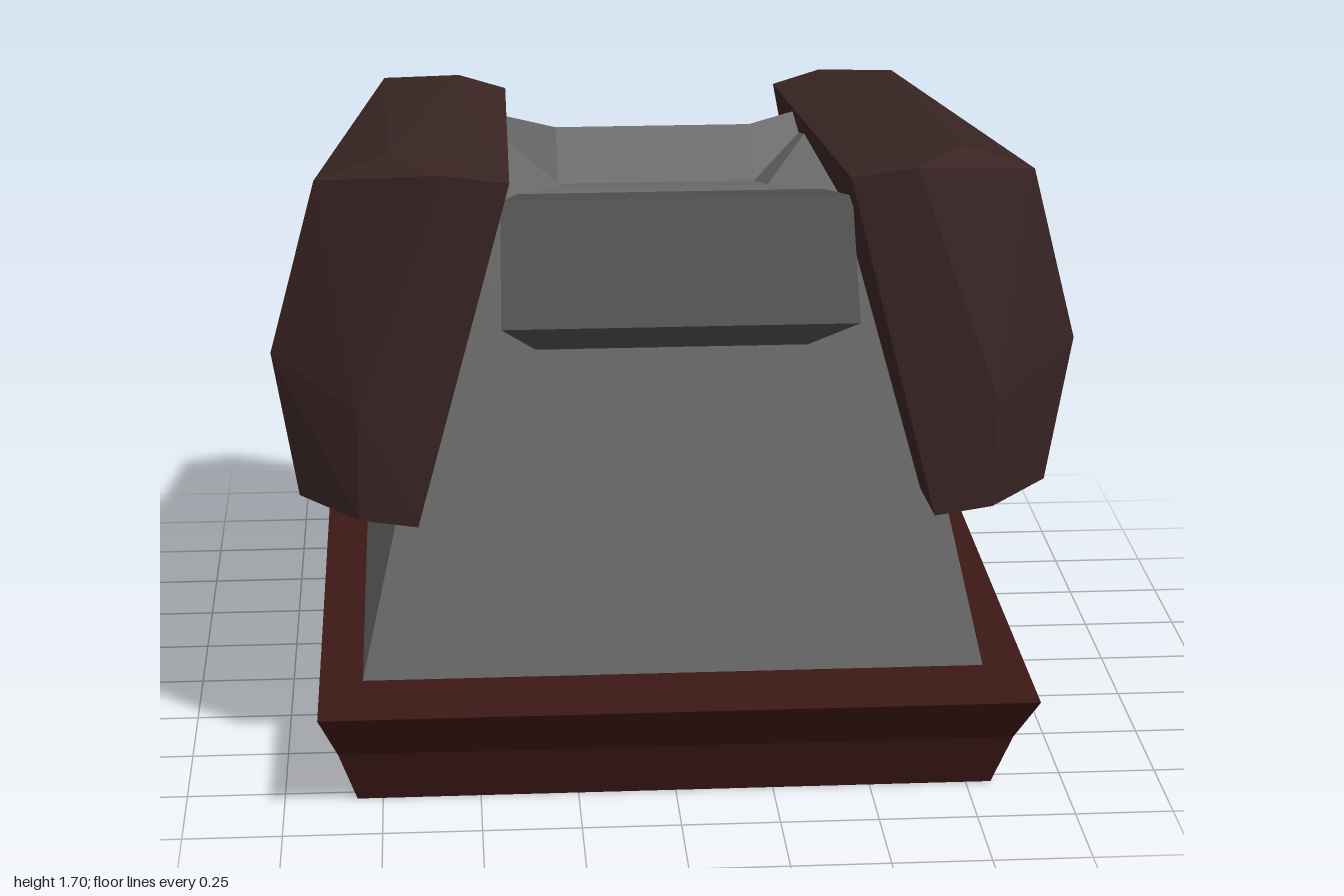
import * as THREE from 'three';
import { ConvexGeometry } from 'three/addons/geometries/ConvexGeometry.js';

const material = (color) => new THREE.MeshStandardMaterial({ color, flatShading: true });
const V = (x, y, z) => new THREE.Vector3(x, y, z);

// Flat-faced geometry from convex polygons, corners counter-clockwise from outside
function fromPolygons(polygons) {
  const points = [];
  for (const p of polygons)
    for (let i = 1; i < p.length - 1; i++) points.push(p[0], p[i], p[i + 1]);
  const geometry = new THREE.BufferGeometry().setFromPoints(points);
  geometry.computeVertexNormals();
  return geometry;
}

// Side walls joining a stack of rings
function walls(rings) {
  const out = [];
  for (let i = 0; i < rings.length - 1; i++) {
    const lo = rings[i], hi = rings[i + 1];
    lo.forEach((p, j) => {
      const k = (j + 1) % lo.length;
      out.push([p, lo[k], hi[k], hi[j]]);
    });
  }
  return out;
}

// Convex solid from points given for +x and mirrored to -x
function symmetricHull(half) {
  return new ConvexGeometry(half.flatMap(([x, y, z]) => [V(x, y, z), V(-x, y, z)]));
}

function baseGeometry() {
  // y, half width, front z, back z
  const rings = [
    [0, 0.815, 0.79, -0.985],
    [0.15, 0.86, 0.85, -0.915],
    [0.3, 0.905, 0.98, -0.915],
  ].map(([y, w, f, b]) => [V(-w, y, f), V(w, y, f), V(w, y, b), V(-w, y, b)]);
  return fromPolygons([...walls(rings), rings[2], [...rings[0]].reverse()]);
}

function bodyGeometry() {
  // y, half width, front z, side back z, back half width, back z
  const rings = [
    [0.3, 0.795, 0.73, -0.66, 0.45, -0.81],
    [1.3, 0.567, 0.61, -0.54, 0.29, -0.29],
    [1.52, 0.5, 0.58, -0.38, 0.26, -0.14],
  ].map(([y, w, f, s, bw, b]) => [
    V(-w, y, f), V(w, y, f), V(w, y, s), V(bw, y, b), V(-bw, y, b), V(-w, y, s),
  ]);
  const [fl, fr, sr, br, bl, sl] = rings[2];
  // sunken channel in the roof
  const pr = V(0.26, 1.5, 0.4), pl = V(-0.26, 1.5, 0.4);
  const qr = V(0.26, 1.41, 0.03), ql = V(-0.26, 1.41, 0.03);
  const roof = [
    [fl, fr, pr, pl], [pl, pr, qr, ql], [ql, qr, br, bl],
    [fr, sr, pr], [pr, sr, qr], [qr, sr, br],
    [fl, pl, sl], [pl, ql, sl], [ql, bl, sl],
  ];
  return fromPolygons([...walls(rings), ...roof, [...rings[0]].reverse()]);
}

// Heavy armoured side pod, tapering to the back
function podGeometry(side) {
  const front = [
    [0.41, 1.655, 0.92], [0.57, 1.68, 0.93], [0.79, 1.07, 0.865], [0.79, 0.775, 0.835], [0.645, 0.755, 0.84],
    [0.7, 1.7, 0.8], [0.88, 1.63, 0.77], [1.0, 1.18, 0.725], [0.94, 0.8, 0.71],
  ];
  const back = [
    [0.38, 1.49, -0.71], [0.51, 1.53, -0.71], [0.72, 1.52, -0.73], [0.82, 1.23, -0.78],
    [0.76, 0.91, -0.8], [0.5, 0.88, -0.8], [0.61, 1.44, -0.84], [0.66, 1.13, -0.89],
  ];
  return new ConvexGeometry([...front, ...back].map(([x, y, z]) => V(side * x, y, z)));
}

// Octagonal block with a sloping back lip
function stepGeometry(bottom, top, lip, shoulderZ, backZ, backWidth) {
  const w = 0.355;
  const half = [];
  for (const [y, yBack] of [[bottom, bottom + 0.02], [top, lip]])
    half.push([0.28, y, -0.25], [w, y, -0.33], [w, y, shoulderZ], [backWidth, yBack, backZ]);
  return symmetricHull(half);
}

export function createModel() {
  const group = new THREE.Group();
  const add = (name, geometry, mat) => {
    const mesh = new THREE.Mesh(geometry, mat);
    mesh.name = name;
    group.add(mesh);
  };
  const red = material(0x3c1816), brown = material(0x392524);
  const grey = material(0x6c6c6c), darkGrey = material(0x505050), yellow = material(0x82700f);

  add('base', baseGeometry(), red);
  add('body', bodyGeometry(), grey);

  // wedge-shaped visor overhanging the front
  add('frontVisor', symmetricHull([
    [0.43, 1.575, 0.79], [0.435, 1.3, 0.955], [0.335, 1.13, 0.6],
    [0.38, 1.535, 0.58], [0.335, 1.2, 0.56],
  ]), darkGrey);

  // stepped blocks on the back
  add('upperBackStep', stepGeometry(0.86, 1.3, 1.21, -0.52, -0.67, 0.22), yellow);
  add('lowerBackStep', stepGeometry(0.55, 0.9, 0.842, -0.61, -0.77, 0.24), yellow);

  add('leftPod', podGeometry(1), brown);
  add('rightPod', podGeometry(-1), brown);
  return group;
}
